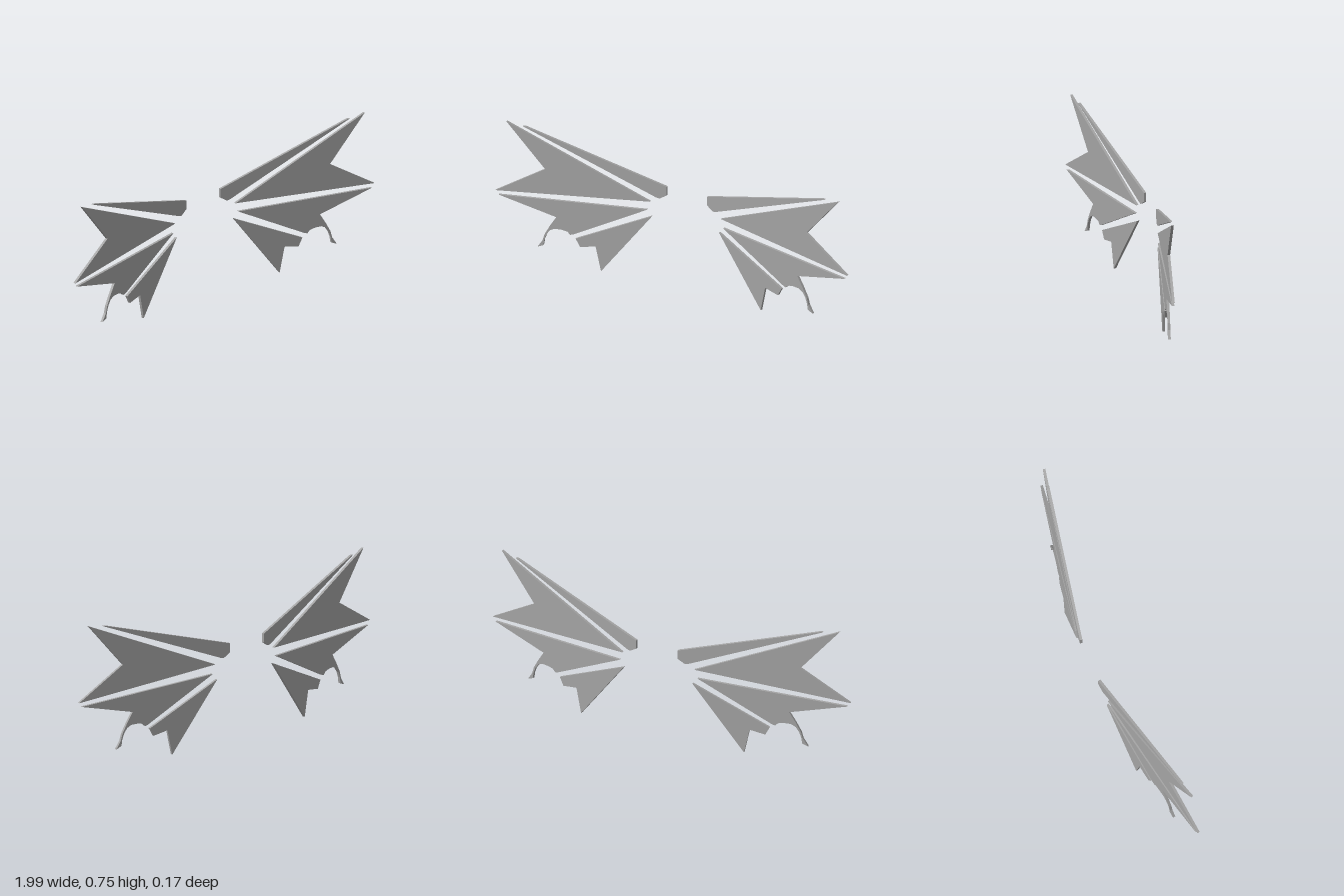
import * as THREE from 'three';

// Outlines of the wing panels as [x, y], measured on the +x side
const PANELS = {
  leadingSpar: [[0.115, 0.525], [0.115, 0.478], [0.152, 0.455], [0.17, 0.459], [0.853, 0.743], [0.84, 0.743]],
  upperPanel: [[0.2, 0.43], [0.994, 0.368], [0.739, 0.524], [0.938, 0.757]],
  // middle panel ends in a thin curved tail
  middlePanel: [[0.216, 0.383], [0.595, 0.186], [0.61, 0.182], [0.625, 0.197], [0.655, 0.203], [0.69, 0.203],
    [0.715, 0.19], [0.732, 0.165], [0.743, 0.135], [0.748, 0.103], [0.778, 0.09], [0.752, 0.13],
    [0.742, 0.165], [0.715, 0.215], [0.682, 0.268], [0.978, 0.346]],
  lowerPanel: [[0.19, 0.351], [0.452, 0.006], [0.48, 0.138], [0.56, 0.123], [0.582, 0.165]],
};
const SWEEP = Math.atan(0.183); // wings angle forward towards the tips
const THICKNESS = 0.013;

export function createModel() {
  const model = new THREE.Group();
  model.name = 'wings';
  const grey = new THREE.MeshStandardMaterial({ color: 0xa4a4a4 });
  grey.name = 'wing grey';

  for (const side of [1, -1]) {
    const wing = new THREE.Group();
    wing.name = side > 0 ? 'leftWing' : 'rightWing';
    for (const [name, outline] of Object.entries(PANELS)) {
      const points = outline.map(([x, y]) => new THREE.Vector2(side * x / Math.cos(SWEEP), y));
      const geometry = new THREE.ExtrudeGeometry(new THREE.Shape(points), { depth: THICKNESS, bevelEnabled: false });
      geometry.translate(0, 0, -THICKNESS / 2);
      const panel = new THREE.Mesh(geometry, grey);
      panel.name = name;
      wing.add(panel);
    }
    wing.rotation.y = -side * SWEEP;
    wing.position.z = -0.101;
    model.add(wing);
  }
  return model;
}
